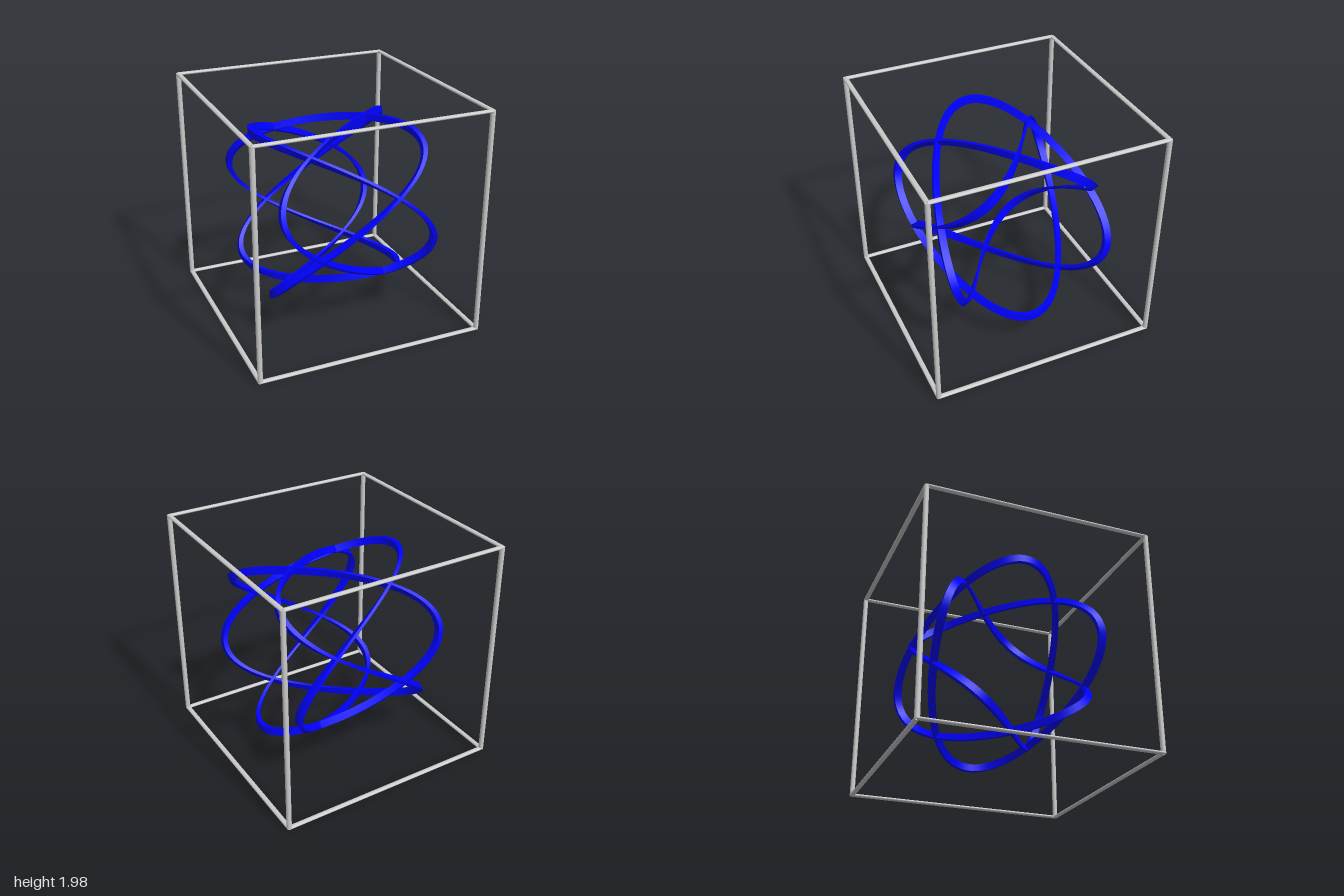
import * as THREE from 'three';

const blue = new THREE.MeshStandardMaterial({ color: 0x0000ff });
const grey = new THREE.MeshStandardMaterial({ color: 0xcccccc });

// Closed band of rectangular section, winding 3 times round the x axis
// while swinging 5 times along it
function knotGeometry() {
  const turns = 3, swings = 5, steps = 600;
  const inner = 0.674, outer = 0.737, half = 0.021, swing = 0.67;
  const section = [[-half, inner], [half, inner], [half, outer], [-half, outer]];
  const pos = [], index = [];
  const point = (a, [dx, r]) => [
    0.02 - swing * Math.cos(a * swings / turns) + dx,
    0.997 + r * Math.cos(a),
    r * Math.sin(a),
  ];
  // Each side is its own strip so the four long edges stay sharp
  for (let s = 0; s < 4; s++) {
    const base = pos.length / 3;
    for (let i = 0; i <= steps; i++) {
      const a = (i / steps) * turns * Math.PI * 2;
      pos.push(...point(a, section[s]), ...point(a, section[(s + 1) % 4]));
      if (i < steps) {
        const k = base + i * 2;
        index.push(k, k + 1, k + 2, k + 1, k + 3, k + 2);
      }
    }
  }
  const g = new THREE.BufferGeometry();
  g.setAttribute('position', new THREE.Float32BufferAttribute(pos, 3));
  g.setIndex(index);
  g.computeVertexNormals();
  return g;
}

// Round bar along y with the given half widths
function barGeometry(length, hx, hz) {
  return new THREE.CylinderGeometry(1, 1, length, 16).scale(hx, 1, hz);
}

export function createModel() {
  const model = new THREE.Group();

  const knot = new THREE.Mesh(knotGeometry(), blue);
  knot.name = 'knotBand';
  model.add(knot);

  // Cube frame of twelve bars
  const frame = new THREE.Group();
  frame.name = 'cubeFrame';
  const c = 0.978, r = 0.0215, flat = 0.0135, top = 1.981 - flat;
  const add = (name, g, x, y, z) => {
    const m = new THREE.Mesh(g, grey);
    m.name = name;
    m.position.set(x, y, z);
    frame.add(m);
  };
  const post = barGeometry(top - flat + 0.01, r, r);
  const barX = barGeometry(2 * c, flat, r).rotateZ(Math.PI / 2);
  const barZ = barGeometry(2 * c, r, flat).rotateX(Math.PI / 2);
  for (const s of [-1, 1]) {
    for (const t of [-1, 1]) add('framePost', post, s * c, (top + flat) / 2, t * c);
    for (const y of [flat, top]) {
      add('frameCrossBar', barX, 0, y, s * c);
      add('frameSideBar', barZ, s * c, y, 0);
    }
  }
  model.add(frame);
  return model;
}
